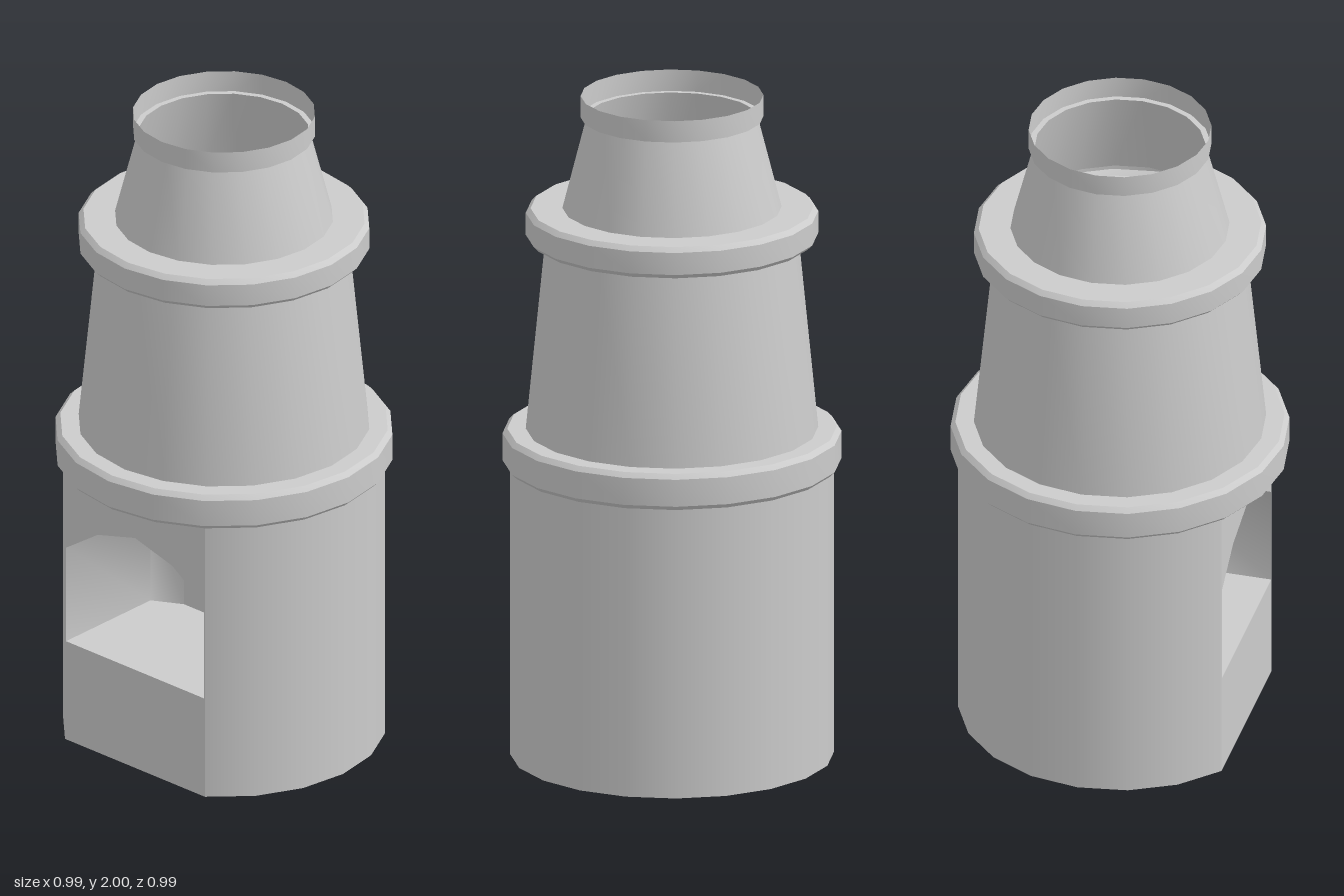
import * as THREE from 'three';
import { toCreasedNormals } from 'three/addons/utils/BufferGeometryUtils.js';

const SIDES = 20;
const BASE_R = 0.473, BASE_H = 0.88;
const HALF = Math.PI / 5;                 // half angle of the flattened front
const FACE_Z = BASE_R * Math.cos(HALF);   // distance of the flat face from the axis
const FACE_W = BASE_R * Math.sin(HALF);   // half width of the flat face

const material = new THREE.MeshStandardMaterial({ color: 0xcccccc, side: THREE.DoubleSide });

function add(parent, name, geometry) {
  const mesh = new THREE.Mesh(geometry, material);
  mesh.name = name;
  parent.add(mesh);
  return mesh;
}

// Turned part from [radius, height] pairs, with crisp rims
function turned(parent, name, profile) {
  const points = profile.map(([r, y]) => new THREE.Vector2(r, y));
  return add(parent, name, toCreasedNormals(new THREE.LatheGeometry(points, SIDES), 0.5));
}

// Band with bevelled edges, joining the wall below to the wall above
function band(parent, name, r, y0, y1, rBelow, rAbove) {
  const b = 0.014;
  turned(parent, name, [
    [rBelow, y0], [r - b, y0], [r, y0 + b], [r, y1 - b], [r - b, y1], [rAbove, y1],
  ]);
}

// Arched outline, from bottom left over the top to bottom right
function archPoints(w, yBottom, ySide, yShoulder, yTop) {
  return [[-w, yBottom], [-w, ySide], [-w * 0.54, yShoulder], [0, yTop],
    [w * 0.54, yShoulder], [w, ySide], [w, yBottom]];
}

// Recess lofted through arched sections and closed at the back
function recess(sections) {
  const n = sections[0].points.length;
  const position = sections.flatMap(({ points, z }) => points.flatMap(([x, y]) => [x, y, z]));
  const index = [];
  for (let s = 0; s < sections.length - 1; s++) {
    for (let i = 0; i < n; i++) {
      const j = (i + 1) % n;
      const a = s * n + i, b = s * n + j, c = a + n, d = b + n;
      index.push(a, b, c, b, d, c);
    }
  }
  const last = (sections.length - 1) * n;
  for (let i = 1; i < n - 1; i++) index.push(last, last + i + 1, last + i);
  const geometry = new THREE.BufferGeometry();
  geometry.setAttribute('position', new THREE.Float32BufferAttribute(position, 3));
  geometry.setIndex(index);
  return toCreasedNormals(geometry, 1.2);
}

export function createModel() {
  const model = new THREE.Group();
  model.name = 'chimney';

  // Round wall of the base, leaving the flattened front open
  add(model, 'baseWall', new THREE.CylinderGeometry(
    BASE_R, BASE_R, BASE_H, 16, 1, true, 0, 2 * Math.PI - 2 * HALF
  ).translate(0, BASE_H / 2, 0));

  // Flat front with the arched recess, turned towards one corner
  const front = new THREE.Group();
  front.name = 'flatFront';
  front.rotation.y = -HALF;
  model.add(front);

  const mouth = archPoints(FACE_W - 0.004, 0.32, 0.625, 0.71, 0.75);
  const face = new THREE.Shape([
    [-FACE_W, 0], [FACE_W, 0], [FACE_W, BASE_H], [-FACE_W, BASE_H],
  ].map(([x, y]) => new THREE.Vector2(x, y)));
  face.holes.push(new THREE.Path(mouth.map(([x, y]) => new THREE.Vector2(x, y))));
  add(front, 'frontFace', new THREE.ShapeGeometry(face).translate(0, 0, FACE_Z));

  add(front, 'archedRecess', recess([
    { points: mouth, z: FACE_Z },
    { points: mouth, z: 0.02 },
    { points: archPoints(0.185, 0.32, 0.6, 0.665, 0.695), z: -0.028 },
  ]));

  // Small ceiling between the flat front and the band above it
  const segment = [];
  for (let i = -2; i <= 2; i++) {
    const a = i * HALF / 2;
    segment.push(new THREE.Vector2(BASE_R * Math.sin(a), BASE_R * Math.cos(a)));
  }
  add(front, 'frontCeiling', new THREE.ShapeGeometry(new THREE.Shape(segment))
    .rotateX(Math.PI / 2).translate(0, BASE_H, 0));

  // Tapering stack and its bands
  band(model, 'lowerBand', 0.495, 0.88, 0.99, BASE_R, 0.427);
  turned(model, 'middleTier', [[0.427, 0.99], [0.37, 1.565]]);
  band(model, 'upperBand', 0.427, 1.565, 1.66, 0.37, 0.32);
  turned(model, 'upperTier', [[0.32, 1.66], [0.25, 1.935]]);
  turned(model, 'topCollar', [[0.25, 1.935], [0.267, 1.935], [0.267, 2]]);

  return model;
}
